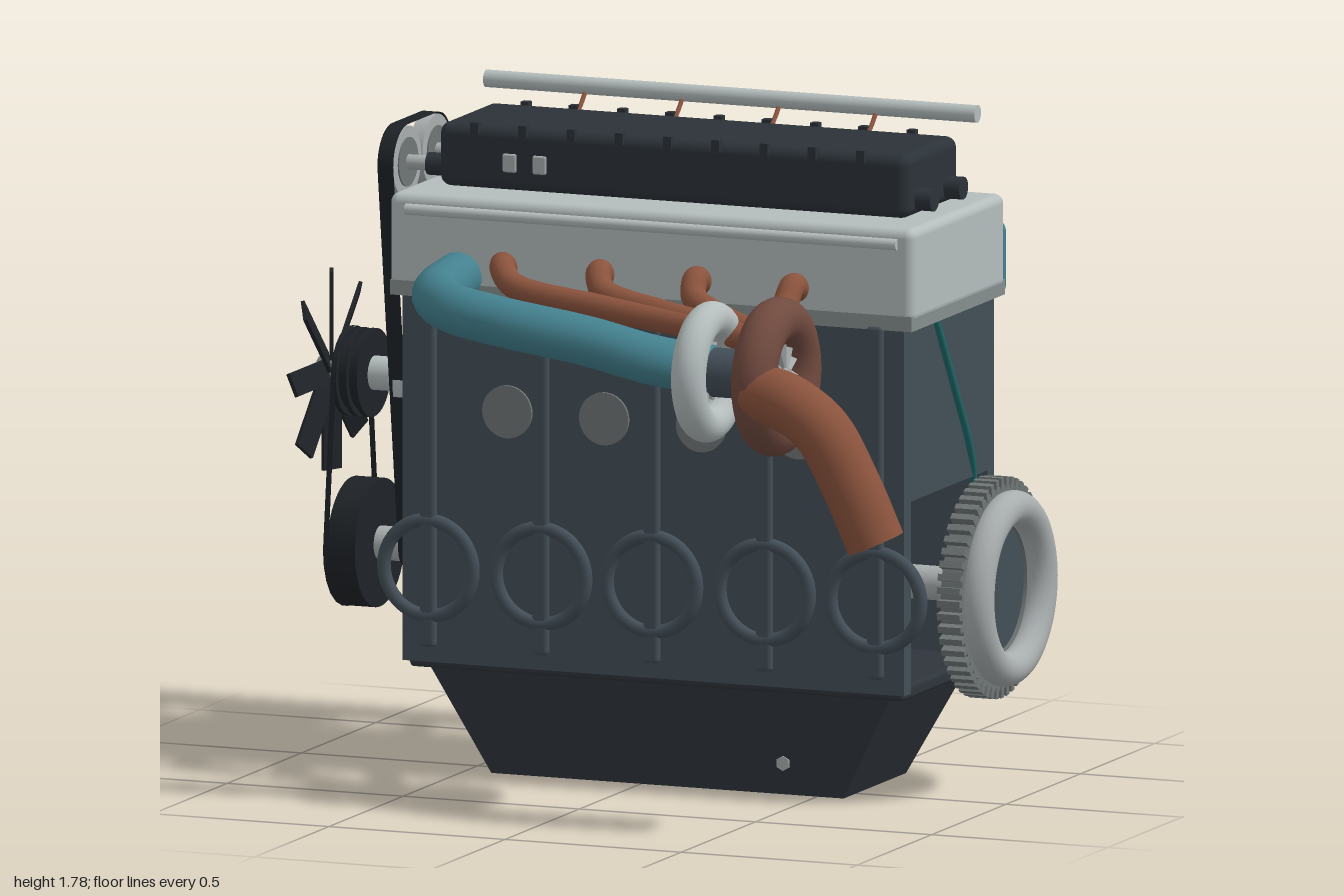
import * as THREE from 'three';
import { RoundedBoxGeometry } from 'three/addons/geometries/RoundedBoxGeometry.js';

const mat = (color) => new THREE.MeshStandardMaterial({ color, side: THREE.DoubleSide });
const M = {
  block: mat(0x434e57), dark: mat(0x2b3238), pan: mat(0x2e353b), black: mat(0x1e2226),
  alloy: mat(0xb4bcbc), steel: mat(0xa8adad), gasket: mat(0x868e8e), gear: mat(0x6f7575),
  teal: mat(0x43808e), hose: mat(0x1f6a6a), copper: mat(0x8a533d), turbine: mat(0x704a3f), ochre: mat(0x8a6420),
};
const PORTS = [-0.34, -0.065, 0.21, 0.485];
const RIBS = [-0.565, -0.245, 0.07, 0.39, 0.705];
const CY = 0.55, CZ = -0.127; // crank axis

export function createModel() {
  const root = new THREE.Group();
  const add = (name, geo, m, x = 0, y = 0, z = 0, parent = root) => {
    const mesh = new THREE.Mesh(geo, m);
    mesh.name = name;
    mesh.position.set(x, y, z);
    parent.add(mesh);
    return mesh;
  };
  // box given by its min and max on each axis, optionally rounded
  const box = (name, m, x0, x1, y0, y1, z0, z1, r = 0) => add(name,
    r ? new RoundedBoxGeometry(x1 - x0, y1 - y0, z1 - z0, 3, r) : new THREE.BoxGeometry(x1 - x0, y1 - y0, z1 - z0),
    m, (x0 + x1) / 2, (y0 + y1) / 2, (z0 + z1) / 2);
  // cylinder lying along x from x0 to x1
  const cylX = (name, m, r, x0, x1, y, z, parent = root) =>
    add(name, new THREE.CylinderGeometry(r, r, x1 - x0, 40).rotateZ(Math.PI / 2), m, (x0 + x1) / 2, y, z, parent);
  const torusX = (name, m, R, r, x, y, z) =>
    add(name, new THREE.TorusGeometry(R, r, 20, 56).rotateY(Math.PI / 2), m, x, y, z);
  const tube = (name, m, r, pts, seg = 48) => {
    const c = new THREE.CatmullRomCurve3(pts.map((p) => new THREE.Vector3(...p)));
    return add(name, new THREE.TubeGeometry(c, seg, r, 18), m);
  };
  // thin belt round two or more pulleys, given as a loop of [y, z]
  const belt = (name, x0, x1, loop) => {
    const pos = [], idx = [];
    loop.forEach(([y, z], i) => {
      pos.push(x0, y, z, x1, y, z);
      const a = 2 * i, b = 2 * ((i + 1) % loop.length);
      idx.push(a, b, a + 1, b, b + 1, a + 1);
    });
    const g = new THREE.BufferGeometry();
    g.setAttribute('position', new THREE.Float32BufferAttribute(pos, 3));
    g.setIndex(idx);
    g.computeVertexNormals();
    add(name, g, M.black);
  };
  const arc = (y, z, r, a0, a1, n = 12) => Array.from({ length: n + 1 }, (_, i) => {
    const a = a0 + (a1 - a0) * i / n;
    return [y + r * Math.sin(a), z + r * Math.cos(a)];
  });

  // cylinder block above an open-ended crankcase
  box('cylinderBlock', M.block, -0.64, 0.785, 0.81, 1.28, -0.43, 0.175);
  box('crankcaseFrontWall', M.block, -0.64, 0.785, 0.3, 0.81, 0.13, 0.175);
  box('crankcaseBackWall', M.block, -0.64, 0.785, 0.3, 0.81, -0.43, -0.385);
  for (const [side, z] of [['front', 0.175], ['back', -0.43]]) {
    for (const x of RIBS) {
      box(side + 'Rib', M.block, x - 0.023, x + 0.023, 0.34, 1.28, z - 0.015, z + 0.015, 0.012);
      add(side + 'BearingRing', new THREE.TorusGeometry(0.127, 0.018, 14, 48), M.block, x, CY, z);
    }
    for (const x of PORTS)
      add(side + 'CorePlug', new THREE.CylinderGeometry(0.07, 0.07, 0.016, 36).rotateX(Math.PI / 2), M.gear, x, 0.98, z);
  }

  // oil pan: box with its floor drawn in
  const pan = new THREE.BoxGeometry(1, 0.29, 1);
  const p = pan.attributes.position;
  for (let i = 0; i < p.count; i++) {
    const top = p.getY(i) > 0, right = p.getX(i) > 0, front = p.getZ(i) > 0;
    p.setX(i, right ? (top ? 0.73 : 0.575) : (top ? -0.585 : -0.425));
    p.setZ(i, front ? (top ? 0.13 : 0.085) : (top ? -0.39 : -0.335));
  }
  pan.computeVertexNormals();
  add('oilPan', pan, M.pan, 0, 0.145, 0);
  box('panFlange', M.pan, -0.63, 0.775, 0.28, 0.32, -0.415, 0.155, 0.012);
  add('drainPlug', new THREE.CylinderGeometry(0.02, 0.02, 0.03, 6).rotateX(Math.PI / 2), M.steel, 0.41, 0.085, 0.09);

  // cylinder head, side rails and valve cover
  box('headGasket', M.gasket, -0.67, 0.81, 1.27, 1.31, -0.445, 0.185);
  box('cylinderHead', M.alloy, -0.675, 0.815, 1.29, 1.54, -0.44, 0.185, 0.025);
  for (const z of [0.185, -0.44]) cylX('headRail', M.alloy, 0.015, -0.625, 0.77, 1.5, z);
  box('valveCover', M.dark, -0.595, 0.74, 1.54, 1.71, -0.305, 0.045, 0.03);
  for (let i = 0; i < 9; i++)
    for (const z of [0.04, -0.3]) box('coverBolt', M.dark, -0.5 + i * 0.137, -0.477 + i * 0.137, 1.685, 1.717, z - 0.012, z + 0.012);
  for (const x of [-0.39, -0.305]) box('coverTab', M.steel, x - 0.02, x + 0.02, 1.59, 1.64, 0.03, 0.05, 0.006);
  for (const z of [-0.03, -0.225]) cylX('camshaft', M.dark, 0.03, -0.65, 0.785, 1.585, z);

  // fuel rail and injectors
  cylX('fuelRail', M.alloy, 0.023, -0.625, 0.77, 1.76, -0.355);
  for (const x of PORTS) tube('injector', M.copper, 0.006, [[x, 1.75, -0.35], [x, 1.72, -0.32], [x, 1.69, -0.28]], 8);

  // timing drive
  for (const z of [-0.03, -0.225]) {
    cylX('camPulley', M.steel, 0.095, -0.75, -0.712, 1.585, z);
    cylX('camPulleyFace', M.gear, 0.065, -0.754, -0.708, 1.585, z);
    cylX('camStub', M.steel, 0.02, -0.72, -0.64, 1.585, z);
  }
  cylX('timingPulley', M.steel, 0.055, -0.755, -0.708, CY, CZ);
  belt('timingBelt', -0.755, -0.71, [
    ...arc(1.585, -0.03, 0.1, 0, Math.PI / 2), ...arc(1.585, -0.225, 0.1, Math.PI / 2, Math.PI),
    ...arc(CY, CZ, 0.058, Math.PI, 2 * Math.PI)]);

  // crankshaft
  cylX('crankshaft', M.steel, 0.045, -0.85, 0.9, CY, CZ);
  cylX('crankNose', M.steel, 0.06, -0.69, -0.62, CY, CZ);
  PORTS.forEach((x, i) => {
    for (const d of [-0.06, 0.06])
      cylX('crankWeb', M.gear, 0.1, x + d - 0.015, x + d + 0.015, CY + (i % 3 ? -0.04 : 0.04), CZ);
  });

  // flywheel with ring gear
  cylX('flywheelDisc', M.block, 0.2, 0.885, 0.925, CY, CZ);
  add('ringGear', new THREE.LatheGeometry([[0.17, -0.03], [0.27, -0.03], [0.27, 0.03], [0.17, 0.03], [0.17, -0.03]]
    .map((q) => new THREE.Vector2(...q)), 64).rotateZ(-Math.PI / 2).toNonIndexed(), M.gear, 0.905, CY, CZ).geometry.computeVertexNormals();
  torusX('flywheelRim', M.steel, 0.213, 0.045, 0.955, CY, CZ);
  for (let i = 0; i < 52; i++)
    add('gearTooth', new THREE.BoxGeometry(0.065, 0.03, 0.018).translate(0, 0.277, 0), M.gear, 0.905, CY, CZ).rotation.x = i * Math.PI / 26;

  // water pump, pulleys and fan
  const FY = 1.0;
  cylX('waterPump', M.alloy, 0.12, -0.745, -0.64, FY, CZ);
  cylX('pumpShaft', M.alloy, 0.045, -0.86, -0.74, FY, CZ);
  cylX('fanPulley', M.black, 0.1, -0.92, -0.85, FY, CZ);
  for (const x of [-0.92, -0.89, -0.86]) cylX('fanPulleyFlange', M.black, 0.117, x, x + 0.013, FY, CZ);
  cylX('crankPulley', M.black, 0.17, -0.91, -0.83, CY, CZ);
  belt('fanBelt', -0.92, -0.905, [...arc(FY, CZ, 0.12, 0, Math.PI), ...arc(CY, CZ, 0.172, Math.PI, 2 * Math.PI)]);
  cylX('fanHub', M.gear, 0.035, -1, -0.91, FY, CZ);
  const fan = new THREE.Group();
  fan.name = 'fan';
  fan.position.set(-0.968, FY, CZ);
  root.add(fan);
  for (let i = 0; i < 8; i++) {
    const blade = add('fanBlade', new THREE.BoxGeometry(0.01, 0.235, 0.065).rotateY(0.4).translate(0, 0.147, 0), M.black, 0, 0, 0, fan);
    blade.rotation.x = i * Math.PI / 4;
  }

  // intake plenum, runners and throttle
  box('intakePlenum', M.teal, -0.55, 0.7, 1.21, 1.42, -0.74, -0.545, 0.035);
  for (const x of PORTS)
    tube('intakeRunner', M.teal, 0.036, [[x, 1.37, -0.42], [x, 1.33, -0.46], [x, 1.295, -0.51], [x, 1.31, -0.57]], 16);
  cylX('throttleBody', M.alloy, 0.105, -0.67, -0.545, 1.315, -0.643);
  // charge pipe from the throttle through the head to the compressor
  tube('chargePipe', M.teal, 0.066, [[-0.6, 1.31, -0.62], [-0.58, 1.31, -0.48], [-0.52, 1.34, -0.35], [-0.48, 1.34, 0],
    [-0.475, 1.33, 0.2], [-0.43, 1.325, 0.44], [-0.33, 1.315, 0.56], [-0.18, 1.295, 0.59], [0.05, 1.255, 0.56],
    [0.22, 1.21, 0.52], [0.35, 1.18, 0.44]], 90);

  // turbocharger
  const TY = 1.18, TZ = 0.467;
  torusX('compressorHousing', M.alloy, 0.14, 0.046, 0.355, TY, TZ);
  torusX('turbineHousing', M.turbine, 0.15, 0.06, 0.545, TY, TZ);
  cylX('turboCentre', M.block, 0.065, 0.37, 0.52, TY, TZ);
  for (const [x, name] of [[0.55, 'turbineWheel'], [0.335, 'compressorWheel']]) {
    cylX(name + 'Hub', M.steel, 0.025, x - 0.03, x + 0.03, TY, TZ);
    for (let i = 0; i < 12; i++)
      add(name + 'Blade', new THREE.BoxGeometry(0.045, 0.07, 0.009).rotateY(0.5).translate(0, 0.05, 0), M.steel, x, TY, TZ).rotation.x = i * Math.PI / 6;
  }
  tube('downpipe', M.copper, 0.078, [[0.55, 1.16, 0.6], [0.66, 1.14, 0.64], [0.76, 1.08, 0.665], [0.84, 0.94, 0.66], [0.905, 0.79, 0.65]]);

  // exhaust manifold
  for (const x of PORTS) {
    const t = (k) => x + (0.5 - x) * k;
    tube('exhaustRunner', M.copper, 0.034, [[x, 1.35, 0.15], [x, 1.375, 0.215], [t(0.06), 1.335, 0.265],
      [t(0.4), 1.3, 0.32], [t(0.85), 1.265, 0.37], [0.52, 1.24, 0.41]]);
  }

  // oil filter with stacked rings and its oil lines
  add('oilFilter', new THREE.CylinderGeometry(0.075, 0.075, 0.2, 32), M.dark, -0.53, 0.92, -0.525);
  for (let i = 0; i < 8; i++)
    add('filterRing', new THREE.TorusGeometry(0.075, 0.0115, 8, 36).rotateX(Math.PI / 2), M.dark, -0.53, 0.832 + i * 0.025, -0.525);
  tube('oilLine', M.ochre, 0.008, [[-0.53, 0.83, -0.54], [-0.53, 0.72, -0.49], [-0.54, 0.6, -0.445], [-0.55, 0.32, -0.33]]);
  tube('oilLine', M.ochre, 0.008, [[-0.53, 0.83, -0.49], [-0.56, 0.76, -0.42], [-0.6, 0.68, -0.37], [-0.6, 0.32, -0.32]]);

  // coolant hoses on both ends
  tube('rearHose', M.hose, 0.01, [[0.79, 1.28, -0.02], [0.795, 1.07, -0.14], [0.79, 0.87, -0.265], [0.76, 0.72, -0.35]]);
  tube('frontHose', M.hose, 0.01, [[-0.63, 1.1, -0.2], [-0.68, 1.04, -0.26], [-0.69, 0.9, -0.29], [-0.64, 0.79, -0.33]]);
  return root;
}
